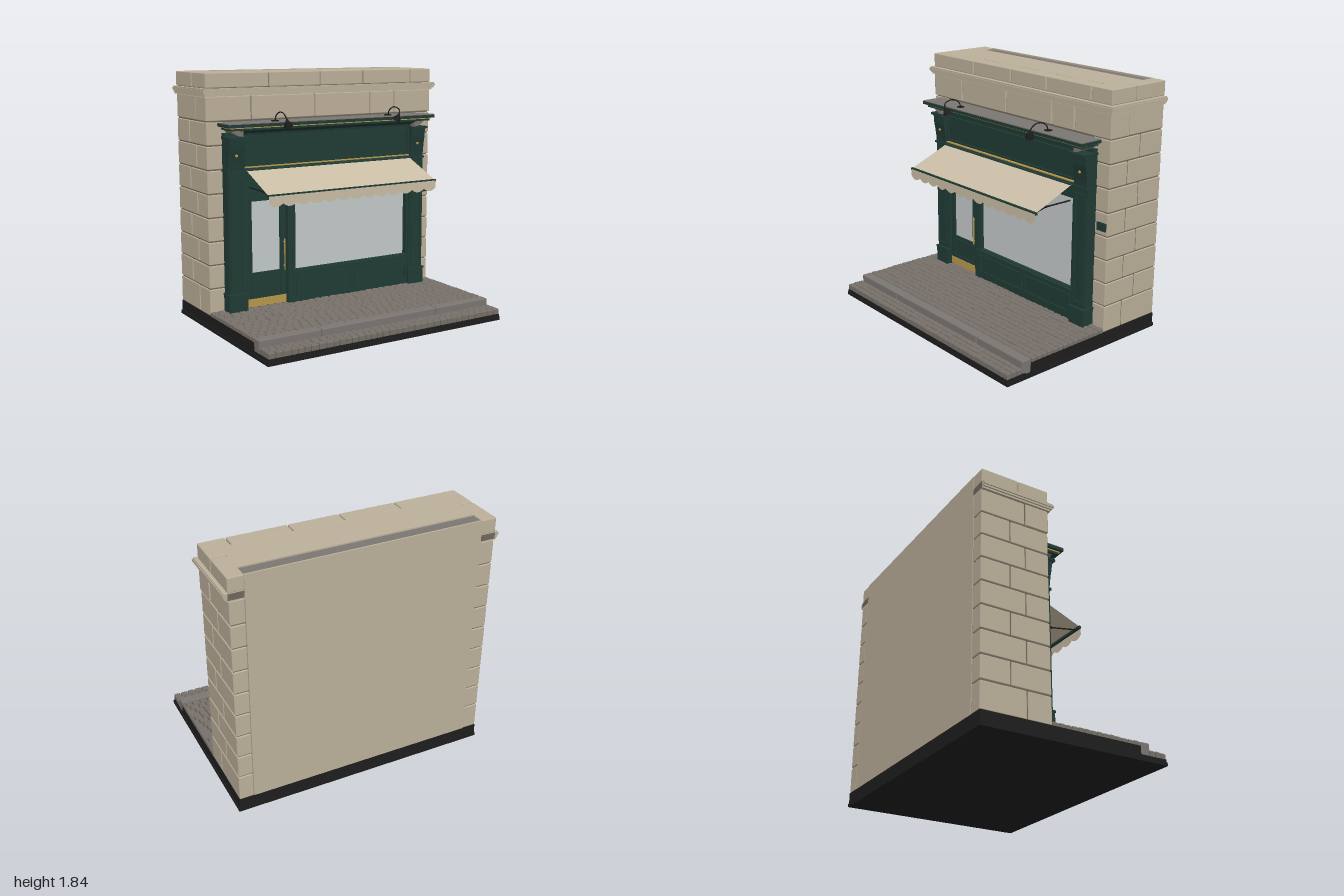
import * as THREE from 'three';
import { mergeGeometries } from 'three/addons/utils/BufferGeometryUtils.js';
import { RoundedBoxGeometry } from 'three/addons/geometries/RoundedBoxGeometry.js';

const mat = (name, color, side = THREE.FrontSide) => {
  const m = new THREE.MeshStandardMaterial({ color, side });
  m.name = name;
  return m;
};
const M = {
  stone: mat('limestone', 0xbcb09a),
  mortar: mat('mortar', 0x6e675c),
  cobble: mat('cobble', 0x77706a),
  lead: mat('lead and kerb grey', 0x7b7672),
  black: mat('black', 0x1e1e1e),
  green: mat('shopfront green', 0x213b35),
  gold: mat('brass', 0xb8984c),
  glass: mat('glass', 0xc4cac9),
  canvas: mat('canvas', 0xcabda5, THREE.DoubleSide),
};

function add(parent, name, geo, material) {
  const m = new THREE.Mesh(geo, material);
  m.name = name;
  parent.add(m);
  return m;
}
function group(parent, name) {
  const g = new THREE.Group();
  g.name = name;
  parent.add(g);
  return g;
}
function boxGeo(x0, x1, y0, y1, z0, z1, round = 0) {
  const w = Math.abs(x1 - x0), h = y1 - y0, d = z1 - z0;
  const g = round ? new RoundedBoxGeometry(w, h, d, 1, round) : new THREE.BoxGeometry(w, h, d);
  return g.translate((x0 + x1) / 2, (y0 + y1) / 2, (z0 + z1) / 2);
}
const box = (p, name, m, ...b) => add(p, name, boxGeo(...b), m);

// Rectangular moulding standing proud of a face at z
function frame(p, name, m, x0, x1, y0, y1, z, t = 0.012, d = 0.008) {
  const a = Math.min(x0, x1), b = Math.max(x0, x1);
  add(p, name, mergeGeometries([
    boxGeo(a, b, y0, y0 + t, z, z + d), boxGeo(a, b, y1 - t, y1, z, z + d),
    boxGeo(a, a + t, y0 + t, y1 - t, z, z + d), boxGeo(b - t, b, y0 + t, y1 - t, z, z + d),
  ]), m);
}
// Side profile of [z, y] points extruded from x0 to x1
function profile(p, name, m, pts, x0, x1) {
  const s = new THREE.Shape(pts.map(q => new THREE.Vector2(...q)));
  const g = new THREE.ExtrudeGeometry(s, { depth: x1 - x0, bevelEnabled: false });
  add(p, name, g.rotateY(-Math.PI / 2).translate(x1, 0, 0), m);
}
function rod(p, name, m, a, b, r) {
  const curve = new THREE.LineCurve3(new THREE.Vector3(...a), new THREE.Vector3(...b));
  add(p, name, new THREE.TubeGeometry(curve, 1, r, 8), m);
}

let seed = 7;
const rand = () => (seed = (seed * 16807) % 2147483647) / 2147483647;

// Rows of chamfered setts in running bond
function cobbles(p, name, z0, z1, rows, y0, y1, size) {
  const list = [], pitch = (z1 - z0) / rows;
  for (let r = 0; r < rows; r++) {
    let x = -0.97, first = true;
    while (x < 0.965) {
      let w = size * (0.85 + 0.35 * rand());
      if (first && r % 2) w *= 0.55;
      first = false;
      if (x + w > 0.945) w = 0.97 - x;
      const h = y1 - y0 - 0.004 * rand();
      const g = new THREE.BoxGeometry(w - 0.007, h, pitch - 0.007, 1, 2, 1);
      const pos = g.attributes.position;
      for (let i = 0; i < pos.count; i++) {
        const y = pos.getY(i);
        if (y > h * 0.4) pos.setXYZ(i, pos.getX(i) - Math.sign(pos.getX(i)) * 0.006, y, pos.getZ(i) * 0.75);
        else if (Math.abs(y) < 1e-4) pos.setY(i, h / 2 - 0.008);
      }
      const flat = g.toNonIndexed();
      flat.computeVertexNormals();
      list.push(flat.translate(x + w / 2, y0 + h / 2, z0 + pitch * (r + 0.5)));
      x += w;
    }
  }
  add(p, name, mergeGeometries(list), M.cobble);
}

function buildGround(root) {
  const g = group(root, 'ground');
  box(g, 'basePlate', M.black, -0.975, 0.975, 0, 0.026, -0.713, 0.713);
  box(g, 'pavementBed', M.black, -0.968, 0.968, 0.026, 0.104, -0.71, 0.5);
  box(g, 'roadBed', M.black, -0.968, 0.968, 0.026, 0.046, 0.5, 0.71);
  cobbles(g, 'pavementCobbles', -0.19, 0.495, 14, 0.1, 0.137, 0.062);
  cobbles(g, 'roadCobbles', 0.577, 0.71, 3, 0.04, 0.09, 0.053);
  const cuts = [-0.97, -0.488, 0.483, 0.97];
  for (let i = 0; i < 3; i++)
    box(g, 'kerbStone', M.lead, cuts[i] + 0.002, cuts[i + 1] - 0.002, 0.026, 0.135, 0.497, 0.575, 0.01);
}

function buildWall(root) {
  const g = group(root, 'wall'), blocks = [], e = 0.004;
  const block = (x0, x1, y0, y1, z0, z1) => blocks.push(boxGeo(
    Math.min(x0, x1) + e, Math.max(x0, x1) - e, y0 + e, y1 - e, z0 + e, z1 - e, 0.007));
  const courses = [0.1, 0.3, 0.472, 0.643, 0.815, 0.986, 1.158, 1.33, 1.5, 1.68];
  box(g, 'mortarCore', M.mortar, -0.958, 0.958, 0.1, 1.73, -0.7, -0.2);
  box(g, 'backPanel', M.stone, -0.858, 0.858, 0.1, 1.84, -0.71, -0.698);

  // Side courses with alternating joints, outer skin both sides
  courses.slice(0, -1).forEach((y, i) => {
    const zj = i % 2 ? -0.488 : -0.37, top = i === 8;
    for (const s of [-1, 1]) {
      block(s * 0.855, s * 0.97, y, courses[i + 1], -0.714, zj);
      if (!top) block(s * 0.8, s * 0.97, y, courses[i + 1], zj, -0.186);
    }
  });
  // Front courses above the shopfront and in the parapet
  const row = (xs, y0, y1, zEnd) => {
    for (let i = 0; i + 1 < xs.length; i++) {
      const end = i === 0 || i === xs.length - 2;
      block(xs[i], xs[i + 1], y0, y1, end ? zEnd : -0.3, -0.181);
    }
  };
  row([-0.974, -0.615, -0.09, 0.4, 0.627, 0.974], 1.5, 1.68, -0.37);
  row([-0.974, -0.472, -0.042, 0.338, 0.778, 0.974], 1.73, 1.844, -0.425);
  for (const s of [-1, 1]) block(s * 0.852, s * 0.974, 1.73, 1.844, -0.714, -0.425);
  add(g, 'stoneBlocks', mergeGeometries(blocks), M.stone);
  box(g, 'parapetCore', M.stone, -0.86, 0.86, 1.73, 1.839, -0.6, -0.297);
  box(g, 'parapetJoints', M.mortar, -0.955, 0.955, 1.725, 1.828, -0.69, -0.2);
  box(g, 'roofGutter', M.lead, -0.856, 0.856, 1.73, 1.8295, -0.698, -0.6);

  // String course
  for (const [y0, y1, o] of [[1.676, 1.69, 0.012], [1.69, 1.704, 0.022], [1.704, 1.722, 0.03], [1.722, 1.732, 0.024]])
    box(g, 'stringCourse', M.stone, -0.97 - o, 0.97 + o, y0, y1, -0.708, -0.185 + o);
  for (const s of [-1, 1])
    box(g, 'stringCourseEnd', M.mortar, s * 0.86, s * 0.97, 1.685, 1.73, -0.71, -0.705);
  box(g, 'plaque', M.green, 0.875, 0.955, 0.855, 0.912, -0.19, -0.176);
}

function buildShopfront(root) {
  const g = group(root, 'shopfront'), G = M.green;
  box(g, 'backing', G, -0.85, 0.85, 0.13, 1.42, -0.195, -0.15);

  for (const s of [-1, 1]) {
    // Pilaster with plinth, panel and console
    box(g, 'pilaster', G, s * 0.72, s * 0.85, 0.13, 1.16, -0.19, -0.105);
    box(g, 'plinth', G, s * 0.712, s * 0.856, 0.13, 0.25, -0.19, -0.092);
    box(g, 'plinthCap', G, s * 0.707, s * 0.86, 0.25, 0.263, -0.19, -0.086);
    frame(g, 'pilasterPanel', G, s * 0.738, s * 0.838, 0.295, 1.105, -0.105);
    box(g, 'necking', G, s * 0.712, s * 0.856, 1.145, 1.16, -0.19, -0.092);
    profile(g, 'console', G, [[-0.19, 1.16], [-0.103, 1.16], [-0.1, 1.2], [-0.092, 1.26], [-0.082, 1.31],
      [-0.077, 1.38], [-0.19, 1.38]], s > 0 ? 0.722 : -0.848, s > 0 ? 0.848 : -0.722);
    box(g, 'consoleCap', G, s * 0.712, s * 0.857, 1.38, 1.397, -0.19, -0.056);
    const stud = add(g, 'stud', new THREE.SphereGeometry(0.011, 12, 8), M.gold);
    stud.position.set(s * 0.785, 1.262, -0.09);
    // Lead flare under the cornice end
    const flare = new THREE.Shape([[0.74, 1.397], [0.775, 1.402], [0.81, 1.42], [0.842, 1.446], [0.74, 1.446]]
      .map(([x, y]) => new THREE.Vector2(s * x, y)));
    add(g, 'cornerFlare', new THREE.ExtrudeGeometry(flare, { depth: 0.12, bevelEnabled: false }).translate(0, 0, -0.19), M.lead);
  }

  // Fascia
  box(g, 'fascia', G, -0.72, 0.72, 1.13, 1.4, -0.19, -0.12);
  frame(g, 'fasciaFrame', G, -0.715, 0.715, 1.185, 1.385, -0.12, 0.013, 0.014);
  box(g, 'fasciaRail', G, -0.72, 0.72, 1.145, 1.168, -0.19, -0.098);
  box(g, 'fasciaLine', M.gold, -0.712, 0.712, 1.17, 1.178, -0.125, -0.1);

  // Cornice
  profile(g, 'corniceCove', G, [[-0.19, 1.39], [-0.125, 1.39], [-0.12, 1.415], [-0.09, 1.424], [-0.055, 1.446], [-0.19, 1.446]], -0.76, 0.76);
  box(g, 'corniceBed', G, -0.855, 0.855, 1.444, 1.459, -0.19, -0.028);
  box(g, 'corniceLine', M.gold, -0.862, 0.862, 1.459, 1.467, -0.19, -0.018);
  box(g, 'corniceTop', G, -0.882, 0.882, 1.467, 1.489, -0.19, -0.002);
  box(g, 'leadFlashing', M.lead, -0.88, 0.88, 1.489, 1.495, -0.19, -0.004);

  // Door
  box(g, 'doorPost', G, -0.72, -0.702, 0.13, 1.15, -0.15, -0.112);
  box(g, 'mullion', G, -0.37, -0.312, 0.13, 1.15, -0.15, -0.108);
  box(g, 'doorGlass', M.glass, -0.66, -0.42, 0.39, 0.925, -0.15, -0.146);
  frame(g, 'doorLeaf', G, -0.702, -0.382, 0.14, 0.972, -0.15, 0.042, 0.018);
  box(g, 'lowerDoor', G, -0.7, -0.384, 0.14, 0.385, -0.15, -0.132);
  frame(g, 'doorGlassBead', G, -0.668, -0.412, 0.382, 0.933, -0.14, 0.012, 0.012);
  frame(g, 'doorPanel', G, -0.658, -0.418, 0.215, 0.37, -0.132);
  box(g, 'kickPlate', M.gold, -0.7, -0.378, 0.142, 0.2, -0.132, -0.126);
  rod(g, 'doorHandle', M.gold, [-0.395, 0.39, -0.115], [-0.395, 0.625, -0.115], 0.005);
  for (const y of [0.42, 0.6]) rod(g, 'handleMount', M.gold, [-0.395, y, -0.135], [-0.395, y, -0.115], 0.005);
  box(g, 'doorTransom', G, -0.702, -0.37, 0.972, 1.0, -0.15, -0.112);

  // Shop window and stall riser
  box(g, 'windowGlass', M.glass, -0.31, 0.69, 0.375, 1.06, -0.15, -0.144);
  frame(g, 'windowFrame', G, -0.325, 0.722, 0.36, 1.14, -0.15, 0.02, 0.035);
  box(g, 'windowHead', G, -0.31, 0.72, 1.05, 1.14, -0.15, -0.115);
  box(g, 'stallRiser', G, -0.37, 0.72, 0.13, 0.355, -0.15, -0.115);
  box(g, 'sill', G, -0.335, 0.72, 0.352, 0.374, -0.15, -0.095);
  for (const [a, b] of [[-0.36, -0.322], [-0.302, 0.19], [0.21, 0.698]])
    frame(g, 'riserPanel', G, a, b, 0.185, 0.328, -0.115);
}

function buildAwning(root) {
  const g = group(root, 'awning');
  const sheet = new THREE.PlaneGeometry(1.42, 1);
  const p = sheet.attributes.position;
  for (let i = 0; i < p.count; i++) {
    const top = p.getY(i) > 0;
    p.setY(i, top ? 1.155 : 1.02);
    p.setZ(i, top ? -0.092 : 0.237);
  }
  sheet.computeVertexNormals();
  add(g, 'awningSheet', sheet, M.canvas);

  // Scalloped valance
  const s = new THREE.Shape(), n = 13, w = 1.42 / n;
  s.moveTo(-0.71, 1.015);
  s.lineTo(-0.71, 0.96);
  for (let i = 0; i < n; i++) {
    const x = -0.71 + i * w;
    s.quadraticCurveTo(x + w / 2, 0.915, x + w, 0.96);
  }
  s.lineTo(0.71, 1.015);
  add(g, 'valance', new THREE.ShapeGeometry(s, 8).translate(0, 0, 0.247), M.canvas);

  box(g, 'frontBar', M.green, -0.716, 0.716, 1.006, 1.024, 0.228, 0.246);
  rod(g, 'roller', M.green, [-0.71, 1.152, -0.096], [0.71, 1.152, -0.096], 0.014);
  for (const k of [-1, 1]) {
    rod(g, 'innerArm', M.black, [k * 0.68, 1.03, -0.11], [k * 0.62, 1.005, 0.06], 0.006);
    rod(g, 'outerArm', M.black, [k * 0.62, 1.005, 0.06], [k * 0.68, 1.006, 0.235], 0.005);
    add(g, 'elbow', new THREE.SphereGeometry(0.009, 10, 8), M.black).position.set(k * 0.62, 1.005, 0.06);
  }
}

function buildLamps(root) {
  const shade = [[0, 0.036], [0.008, 0.034], [0.012, 0.018], [0.026, 0.002], [0.033, -0.022],
    [0.03, -0.022], [0.012, 0], [0, 0.004]].map(q => new THREE.Vector2(...q)).reverse();
  for (const s of [-1, 1]) {
    const g = group(root, 'lamp');
    g.position.x = s * 0.488;
    box(g, 'lampBase', M.black, -0.02, 0.02, 1.493, 1.503, -0.092, -0.052);
    const path = new THREE.CatmullRomCurve3([[0, 1.5, -0.07], [0, 1.535, -0.055], [0, 1.563, -0.005],
      [0, 1.562, 0.045], [0, 1.545, 0.078], [-s * 0.008, 1.52, 0.088]].map(q => new THREE.Vector3(...q)));
    add(g, 'gooseneck', new THREE.TubeGeometry(path, 24, 0.0045, 8), M.black);
    const m = add(g, 'lampShade', new THREE.LatheGeometry(shade, 20), M.black);
    m.position.set(-s * 0.02, 1.487, 0.08);
    m.rotation.set(0.3, 0, -s * 0.35);
  }
}

export function createModel() {
  const root = new THREE.Group();
  root.name = 'shopfrontBuilding';
  [buildGround, buildWall, buildShopfront, buildAwning, buildLamps].forEach(build => build(root));
  return root;
}
